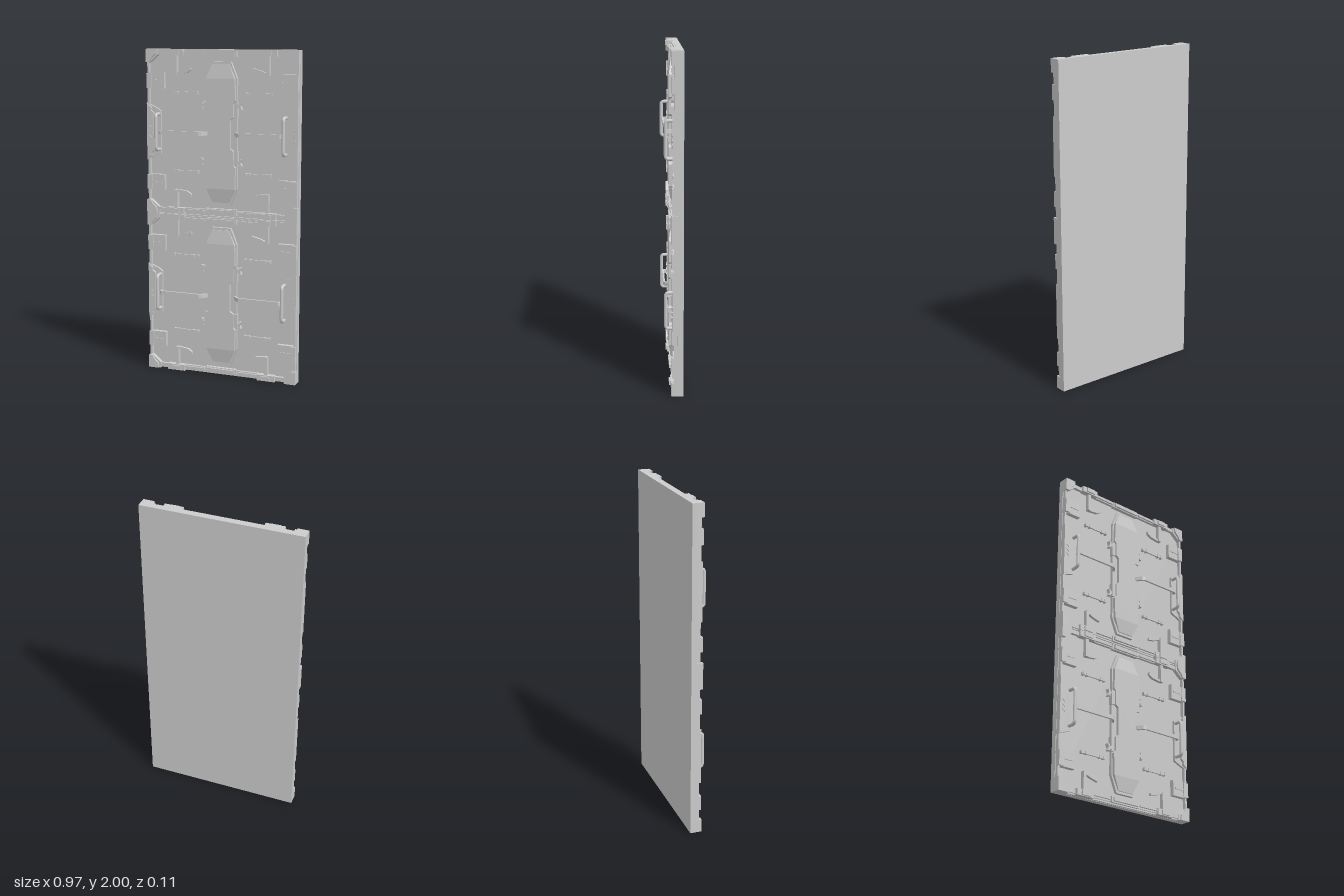
import * as THREE from 'three';

const material = new THREE.MeshStandardMaterial({ color: 0xcccccc, side: THREE.DoubleSide });
const FLOOR = -0.021; // front face of the backing slab

export function createModel() {
  const root = new THREE.Group();
  root.name = 'cabinetPanel';

  const add = (parent, name, geometry) => {
    const mesh = new THREE.Mesh(geometry, material);
    mesh.name = name;
    parent.add(mesh);
    return mesh;
  };
  // Box given by its x, y and z limits; sx and sy mirror it
  const box = (parent, name, [x0, x1], [y0, y1], [z0, z1], sx = 1, sy = 1) => {
    const g = new THREE.BoxGeometry(x1 - x0, y1 - y0, z1 - z0);
    g.translate(sx * (x0 + x1) / 2, sy * (y0 + y1) / 2, (z0 + z1) / 2);
    return add(parent, name, g);
  };
  // Outline extruded along z between two limits
  const plateGeometry = (points, z0, z1, sx = 1, sy = 1) => {
    const shape = new THREE.Shape(points.map(([x, y]) => new THREE.Vector2(x * sx, y * sy)));
    const g = new THREE.ExtrudeGeometry(shape, { depth: z1 - z0, bevelEnabled: false });
    return g.translate(0, 0, z0);
  };
  const plate = (parent, name, points, z0, z1, sx, sy) =>
    add(parent, name, plateGeometry(points, z0, z1, sx, sy));
  // Right half of an outline completed by its mirror image
  const mirrored = (half) => [...half, ...half.map(([x, y]) => [-x, y]).reverse()];

  box(root, 'backingSlab', [-0.487, 0.487], [0, 2], [-0.055, FLOOR]);

  for (const cy of [0.5, 1.5]) {
    const unit = new THREE.Group();
    unit.name = cy > 1 ? 'upperUnit' : 'lowerUnit';
    unit.position.y = cy;
    root.add(unit);

    // Raised spine: octagonal base, rim and stepped cover
    plate(unit, 'spineBase', mirrored([[0.062, -0.43], [0.102, -0.33], [0.102, 0.33], [0.062, 0.43]]), FLOOR, -0.002);
    plate(unit, 'spineCover', mirrored([
      [0.092, -0.33], [0.097, -0.2], [0.085, -0.185], [0.085, -0.1], [0.064, -0.085],
      [0.064, 0.085], [0.085, 0.1], [0.085, 0.185], [0.097, 0.2], [0.092, 0.33],
    ]), FLOOR, 0.016);

    for (const sy of [-1, 1]) {
      // Cover end slopes down towards the tip
      const end = plateGeometry(mirrored([[0.092, 0.33], [0.053, 0.415]]), FLOOR, 0.016, 1, sy);
      const p = end.attributes.position;
      for (let i = 0; i < p.count; i++) {
        if (p.getZ(i) > 0) p.setZ(i, 0.016 - (Math.abs(p.getY(i)) - 0.33) * 0.14);
      }
      end.computeVertexNormals();
      add(unit, 'spineCoverEnd', end);

      // Centre of the end rail
      box(unit, 'endRailCentre', [-0.1, 0.1], [0.455, 0.49], [FLOOR, 0.002], 1, sy);
      box(unit, 'endRailGrip', [-0.09, 0.09], [0.46, 0.482], [0.002, 0.014], 1, sy);
      box(unit, 'endRailLip', [-0.42, 0.42], [0.488, 0.498], [FLOOR, -0.01], 1, sy);
    }

    for (const sx of [-1, 1]) {
      // Side rail, widened around the carrying handle
      box(unit, 'sideRail', [0.47, 0.483], [-0.44, 0.44], [FLOOR, 0], sx);
      plate(unit, 'handleRecess', [
        [0.485, -0.17], [0.47, -0.165], [0.398, -0.135], [0.398, 0.125],
        [0.415, 0.14], [0.47, 0.165], [0.485, 0.17],
      ], FLOOR, -0.006, sx);
      // Raised edge following the recess outline
      plate(unit, 'handleSurround', [
        [0.485, -0.175], [0.478, -0.165], [0.458, -0.15], [0.458, -0.13], [0.44, -0.115],
        [0.44, 0.115], [0.458, 0.13], [0.458, 0.15], [0.478, 0.165], [0.485, 0.175],
      ], -0.006, 0.009, sx);
      for (const y of [-0.03, 0, 0.03]) {
        const rib = box(unit, 'handleRib', [-0.012, 0.012], [-0.003, 0.003], [0.009, 0.013]);
        rib.position.set(sx * 0.46, y, 0);
        rib.rotation.z = sx * 0.7;
      }

      // Carrying handle
      const path = new THREE.CurvePath();
      const v = (y, z) => new THREE.Vector3(sx * 0.408, y, z);
      path.add(new THREE.LineCurve3(v(-0.108, -0.01), v(-0.108, 0.026)));
      path.add(new THREE.QuadraticBezierCurve3(v(-0.108, 0.026), v(-0.108, 0.045), v(-0.088, 0.045)));
      path.add(new THREE.LineCurve3(v(-0.088, 0.045), v(0.088, 0.045)));
      path.add(new THREE.QuadraticBezierCurve3(v(0.088, 0.045), v(0.108, 0.045), v(0.108, 0.026)));
      path.add(new THREE.LineCurve3(v(0.108, 0.026), v(0.108, -0.01)));
      add(unit, 'carryHandle', new THREE.TubeGeometry(path, 48, 0.0105, 10));

      // Cross bar between handle and spine, its profile drawn in x and z
      const bar = plateGeometry([
        [0.398, 0.012], [0.398, 0.032], [0.385, 0.043], [0.13, 0.043], [0.112, 0.034], [0.088, 0.002],
        [0.088, -0.012], [0.1, -0.005], [0.12, 0.024], [0.132, 0.031], [0.38, 0.031], [0.387, 0.012],
      ], -0.012, 0.012, sx);
      add(unit, 'crossBar', bar.rotateX(Math.PI / 2));

      for (const sy of [-1, 1]) {
        // Chamfered corner block
        plate(unit, 'cornerBlock', [
          [0.487, 0.5], [0.487, 0.42], [0.462, 0.42], [0.452, 0.442], [0.425, 0.468], [0.42, 0.5],
        ], FLOOR, 0.016, sx, sy);
        plate(unit, 'cornerFoot', [
          [0.475, 0.5], [0.475, 0.415], [0.458, 0.425], [0.41, 0.465], [0.41, 0.5],
        ], FLOOR, 0.004, sx, sy);

        // End rail with its latch
        box(unit, 'endRail', [0.105, 0.25], [0.462, 0.488], [FLOOR, -0.004], sx, sy);
        box(unit, 'endRailRidge', [0.11, 0.245], [0.468, 0.478], [-0.004, 0.007], sx, sy);
        box(unit, 'endRailOuter', [0.35, 0.42], [0.468, 0.49], [FLOOR, -0.002], sx, sy);
        box(unit, 'latchBase', [0.24, 0.355], [0.462, 0.499], [FLOOR, 0.014], sx, sy);
        box(unit, 'latchBlock', [0.268, 0.325], [0.468, 0.495], [0.014, 0.023], sx, sy);

        // Post and wedge bracket beside the latch
        box(unit, 'bracketPost', [0.285, 0.305], [0.35, 0.465], [FLOOR, 0.004], sx, sy);
        plate(unit, 'bracketWedge', [
          [0.288, 0.35], [0.225, 0.358], [0.198, 0.375], [0.198, 0.392], [0.25, 0.378], [0.288, 0.362],
        ], FLOOR, -0.003, sx, sy);

        // Side lock pad
        box(unit, 'lockPad', [0.37, 0.468], [0.262, 0.358], [FLOOR, 0.006], sx, sy);
        box(unit, 'lockPadEdge', [0.45, 0.484], [0.265, 0.355], [FLOOR, 0.013], sx, sy);
        box(unit, 'lockPadSlot', [0.385, 0.45], [0.306, 0.315], [0.006, 0.011], sx, sy);

        // Thin cable clip with two end feet
        box(unit, 'cableBar', [0.147, 0.32], [0.232, 0.246], [-0.013, -0.004], sx, sy);
        for (const x of [0.15, 0.178, 0.278, 0.306]) {
          box(unit, 'cableBarFoot', [x, x + 0.012], [0.23, 0.248], [FLOOR, 0], sx, sy);
        }

        // Spine side ledge and hook
        box(unit, 'spineLedge', [0.085, 0.108], [0.1, 0.19], [FLOOR, 0.006], sx, sy);
        plate(unit, 'spineHook', [
          [0.1, 0.16], [0.118, 0.16], [0.118, 0.148], [0.133, 0.148], [0.126, 0.17],
          [0.133, 0.19], [0.118, 0.19], [0.118, 0.18], [0.1, 0.18],
        ], FLOOR, 0.004, sx, sy);
      }
    }
  }
  return root;
}
